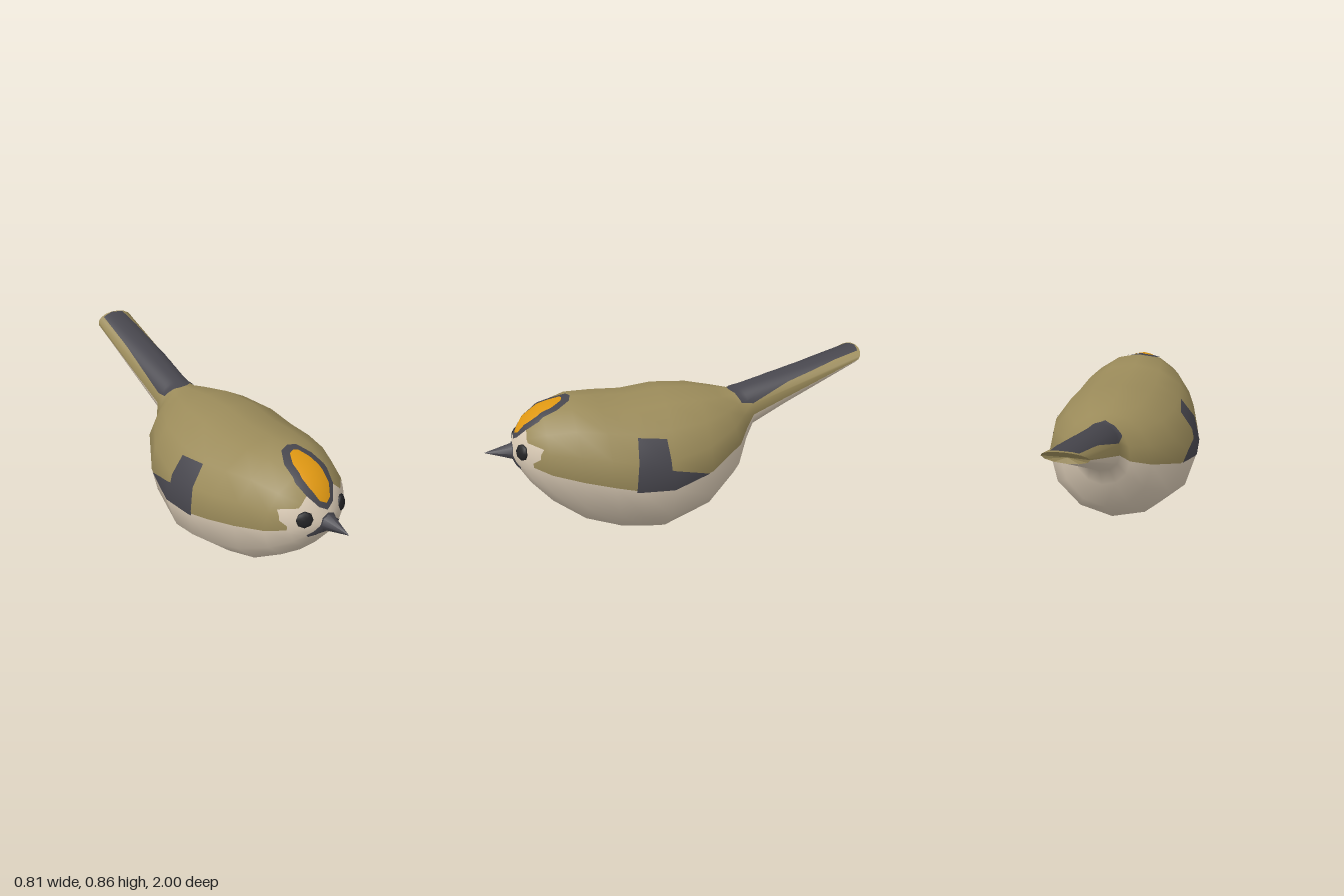
import * as THREE from 'three';

const mat = (name, color) => Object.assign(new THREE.MeshStandardMaterial({ color }), { name });

// Body stations, front to back: [top z, top y, side z, side y, bottom z, bottom y, half width]
const STATIONS = [
  [0.87, 0.49, 0.87, 0.49, 0.87, 0.49, 0],
  [0.84, 0.585, 0.85, 0.5, 0.845, 0.42, 0.085],
  [0.79, 0.66, 0.79, 0.48, 0.79, 0.33, 0.17],
  [0.71, 0.715, 0.7, 0.455, 0.69, 0.215, 0.245],
  [0.57, 0.755, 0.56, 0.43, 0.53, 0.09, 0.315],
  [0.43, 0.745, 0.42, 0.405, 0.35, 0.025, 0.365],
  [0.27, 0.73, 0.3, 0.38, 0.22, 0.008, 0.39],
  [0.1, 0.745, 0.13, 0.365, 0.13, 0, 0.4],
  [-0.08, 0.73, -0.08, 0.41, -0.13, 0.085, 0.35],
  [-0.2, 0.705, -0.27, 0.48, -0.28, 0.22, 0.235],
  [-0.28, 0.69, -0.34, 0.52, -0.345, 0.38, 0.14],
  [-0.34, 0.704, -0.39, 0.57, -0.395, 0.48, 0.1],
  [-1, 0.855, -0.965, 0.815, -0.95, 0.78, 0.107],
];
const UPPER = 8, LOWER = 6, RING = UPPER + LOWER;

// Point j of a station's ring: upper half first, then lower half
function ringPoint([tz, ty, mz, my, bz, by, w], j) {
  const a = j <= UPPER ? (j / UPPER) * Math.PI : Math.PI * (1 + (j - UPPER) / LOWER);
  const s = Math.abs(Math.sin(a));
  const [ez, ey] = j <= UPPER ? [tz, ty] : [bz, by];
  return [w * Math.cos(a), my + (ey - my) * s, mz + (ez - mz) * s];
}

// Lofted body with the back and belly as two material groups
function bodyGeometry() {
  const pos = [], back = [], belly = [];
  STATIONS.forEach((st, i) => {
    for (let j = 0; j < RING; j++) {
      pos.push(...ringPoint(st, j));
      if (i === STATIONS.length - 1) continue;
      const a = i * RING + j, b = i * RING + (j + 1) % RING;
      (j < UPPER ? back : belly).push(a, a + RING, b, b, a + RING, b + RING);
    }
  });
  const g = new THREE.BufferGeometry();
  g.setAttribute('position', new THREE.Float32BufferAttribute(pos, 3));
  g.setIndex([...back, ...belly]);
  g.addGroup(0, back.length, 0);
  g.addGroup(back.length, belly.length, 1);
  g.computeVertexNormals();
  return g;
}

// Slightly hollow end of the tail
function tailEndGeometry() {
  const pos = [], last = STATIONS[STATIONS.length - 1];
  for (let j = 0; j < RING; j++) {
    pos.push(...ringPoint(last, j), 0, 0.805, -0.94, ...ringPoint(last, (j + 1) % RING));
  }
  const g = new THREE.BufferGeometry();
  g.setAttribute('position', new THREE.Float32BufferAttribute(pos, 3));
  g.computeVertexNormals();
  return g;
}

// Thin marking: an outline around a centre, projected on the body along right x up
function markingGeometry(body, outline, centre, right, up, offset) {
  const dir = right.clone().cross(up), ray = new THREE.Raycaster();
  let pts = outline.map(([x, y]) => new THREE.Vector2(x, y));
  if (THREE.ShapeUtils.isClockWise(pts)) pts.reverse();
  const c = new THREE.Vector2(...centre), steps = 10, rings = 14;
  pts = pts.flatMap((p, i) => Array.from({ length: steps }, (_, k) =>
    p.clone().lerp(pts[(i + 1) % pts.length], k / steps)));
  const n = pts.length, pos = [], nor = [], idx = [];
  for (let r = 0; r <= rings; r++) {
    pts.forEach((p, j) => {
      let hit, t = r / rings;
      for (let k = 0; k < 40 && !hit; k++, t *= 0.98) {
        const q = c.clone().lerp(p, t);
        const from = dir.clone().multiplyScalar(3).addScaledVector(right, q.x).addScaledVector(up, q.y);
        ray.set(from, dir.clone().negate());
        hit = ray.intersectObject(body)[0];
      }
      const normal = hit.normal.clone().normalize();
      pos.push(...hit.point.addScaledVector(normal, offset).toArray());
      nor.push(...normal.toArray());
      if (r === rings) return;
      const a = r * n + j, b = r * n + (j + 1) % n;
      idx.push(a, a + n, b, b, a + n, b + n);
    });
  }
  const g = new THREE.BufferGeometry();
  g.setAttribute('position', new THREE.Float32BufferAttribute(pos, 3));
  g.setAttribute('normal', new THREE.Float32BufferAttribute(nor, 3));
  g.setIndex(idx);
  return g;
}

// Completes a half outline (first and last points on the middle line)
const mirror = (half) => [...half, ...half.slice(1, -1).reverse().map(([x, y]) => [-x, y])];

export function createModel() {
  const olive = mat('olive', 0x9b8b5a), cream = mat('cream', 0xd6c7b2), dark = mat('charcoal', 0x47464d);
  const orange = mat('orange', 0xdd9612), black = mat('black', 0x222224);
  const group = new THREE.Group();
  const add = (name, geometry, material) => {
    const m = new THREE.Mesh(geometry, material);
    m.name = name;
    group.add(m);
    return m;
  };
  const body = add('body', bodyGeometry(), [olive, cream]);
  body.updateMatrixWorld();
  add('tailEnd', tailEndGeometry(), olive);

  const V = (x, y, z) => new THREE.Vector3(x, y, z).normalize();
  const X = V(1, 0, 0), Y = V(0, 1, 0), back = V(0, 0, -1), slope = V(0, 1, -1);
  const paint = (name, material, outline, centre, right, up, offset) =>
    add(name, markingGeometry(body, outline, centre, right, up, offset), material);

  // Face and whisker marks, drawn from the front
  paint('face', cream, mirror([[0, 0.62], [0.08, 0.635], [0.125, 0.59], [0.195, 0.575], [0.197, 0.525],
    [0.175, 0.5], [0.18, 0.47], [0.1, 0.44], [0, 0.43]]), [0, 0.52], X, Y, 0.003);
  paint('beakMark', dark, mirror([[0, 0.545], [0.033, 0.53], [0.045, 0.5], [0.1, 0.45], [0.09, 0.434],
    [0.04, 0.448], [0, 0.443]]), [0, 0.48], X, Y, 0.006);

  // Crown stripe, drawn from the front and above
  paint('crownBorder', dark, mirror([[0, -0.205], [0.04, -0.18], [0.08, -0.11], [0.096, -0.035],
    [0.082, 0.06], [0.045, 0.125], [0, 0.14]]), [0, -0.03], X, slope, 0.005);
  paint('crown', orange, mirror([[0, -0.175], [0.03, -0.155], [0.053, -0.09], [0.06, -0.03],
    [0.05, 0.045], [0.025, 0.095], [0, 0.105]]), [0, -0.03], X, slope, 0.008);

  // Tail stripe, drawn from above
  paint('tailStripe', dark, mirror([[0, 0.27], [0.094, 0.32], [0.061, 0.98], [0, 0.993]]),
    [0, 0.6], X, back, 0.004);

  // Wing bars, drawn from each side
  const wing = [[0.32, 0.375], [0.285, 0.615], [0.145, 0.6], [0.14, 0.465], [-0.06, 0.405], [0.13, 0.367]];
  paint('leftWingBar', dark, wing.map(([z, y]) => [-z, y]), [-0.22, 0.42], back, Y, 0.004);
  paint('rightWingBar', dark, wing, [0.22, 0.42], V(0, 0, 1), Y, 0.004);

  // Eyes
  for (const s of [1, -1]) {
    const hit = new THREE.Raycaster(new THREE.Vector3(s * 0.112, 0.535, 3), V(0, 0, -1)).intersectObject(body)[0];
    const eye = add(s > 0 ? 'leftEye' : 'rightEye', new THREE.SphereGeometry(0.042, 8, 6).rotateX(Math.PI / 2), black);
    eye.position.copy(hit.point);
    eye.lookAt(hit.point.clone().add(hit.normal));
    eye.scale.z = 0.45;
  }

  // Beak
  const beak = add('beak', new THREE.ConeGeometry(0.05, 0.16, 8).rotateX(Math.PI / 2), dark);
  beak.position.set(0, 0.499, 0.92);
  beak.rotation.x = -0.06;
  return group;
}
